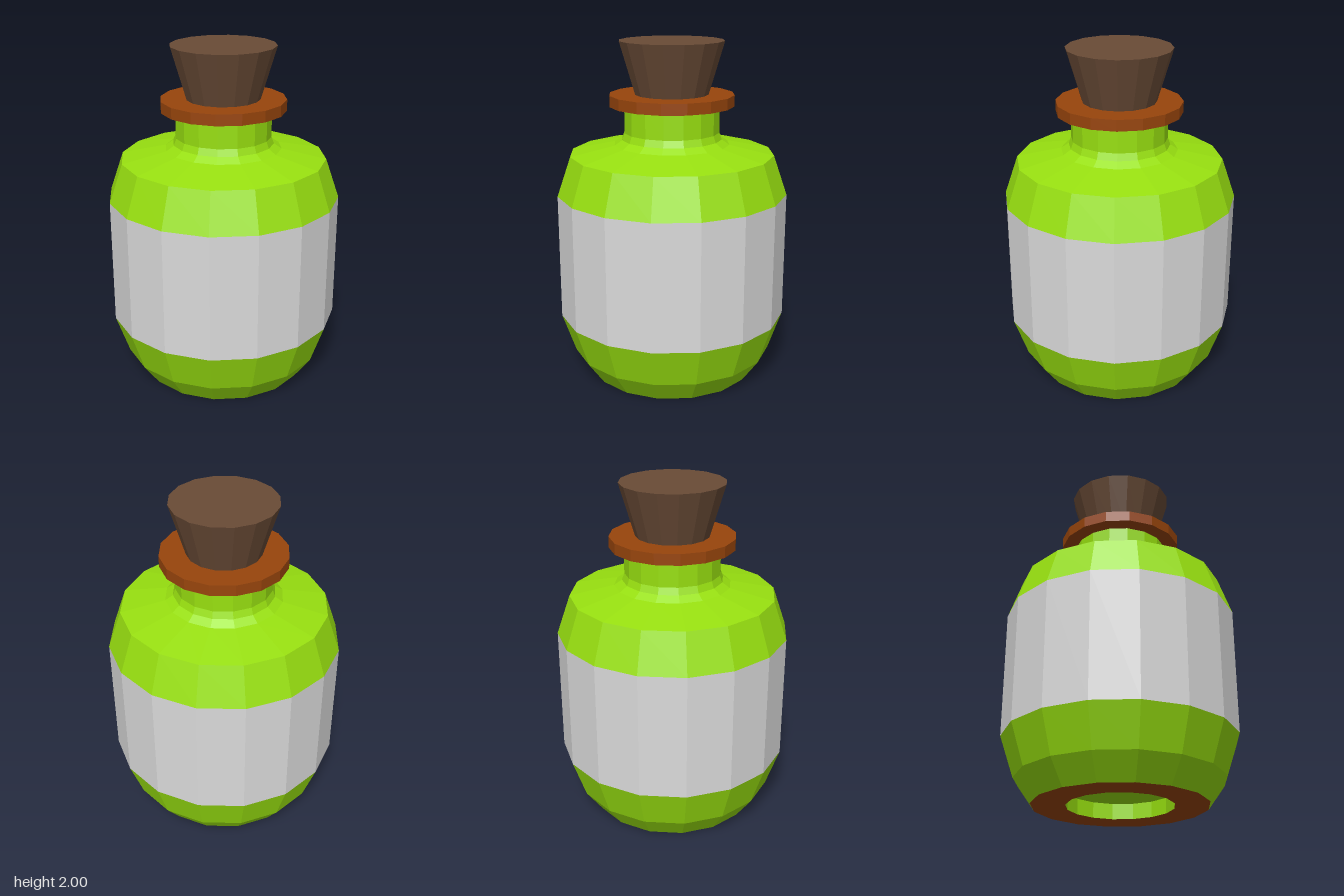
import * as THREE from 'three';

const SIDES = 16;

function material(name, color) {
  const m = new THREE.MeshStandardMaterial({ color });
  m.name = name;
  return m;
}

// Faceted solid of revolution; profile is [radius, height] pairs, underside first
function turned(name, mat, profile) {
  const points = profile.map(([r, y]) => new THREE.Vector2(r, y));
  const geometry = new THREE.LatheGeometry(points, SIDES).toNonIndexed();
  geometry.computeVertexNormals(); // flat facets
  const mesh = new THREE.Mesh(geometry, mat);
  mesh.name = name;
  return mesh;
}

export function createModel() {
  const glass = material('green glass', 0x98e010);
  const paper = material('label grey', 0xdadada);
  const leather = material('collar brown', 0x98450c);
  const wood = material('cork brown', 0x694b36);

  const bottle = new THREE.Group();
  bottle.name = 'bottle';
  bottle.add(
    // Recess in the underside and the ring the bottle stands on
    turned('baseRecess', glass, [[0, 0.09], [0.305, 0.09], [0.305, 0]]),
    turned('baseRing', leather, [[0.305, 0], [0.5, 0]]),
    // Body, with the label as its straight middle band
    turned('lowerBody', glass, [[0.5, 0], [0.6, 0.14], [0.68, 0.375]]),
    turned('label', paper, [[0.68, 0.375], [0.68, 1.12]]),
    turned('shoulder', glass, [[0.68, 1.12], [0.6, 1.35], [0.34, 1.405], [0.295, 1.435]]),
    turned('neck', glass, [[0.295, 1.435], [0.28, 1.475], [0.28, 1.63]]),
    // Collar and stopper
    turned('collar', leather, [[0, 1.63], [0.365, 1.63], [0.365, 1.695], [0, 1.695]]),
    turned('cork', wood, [[0.215, 1.695], [0.305, 2], [0, 2]])
  );
  return bottle;
}
